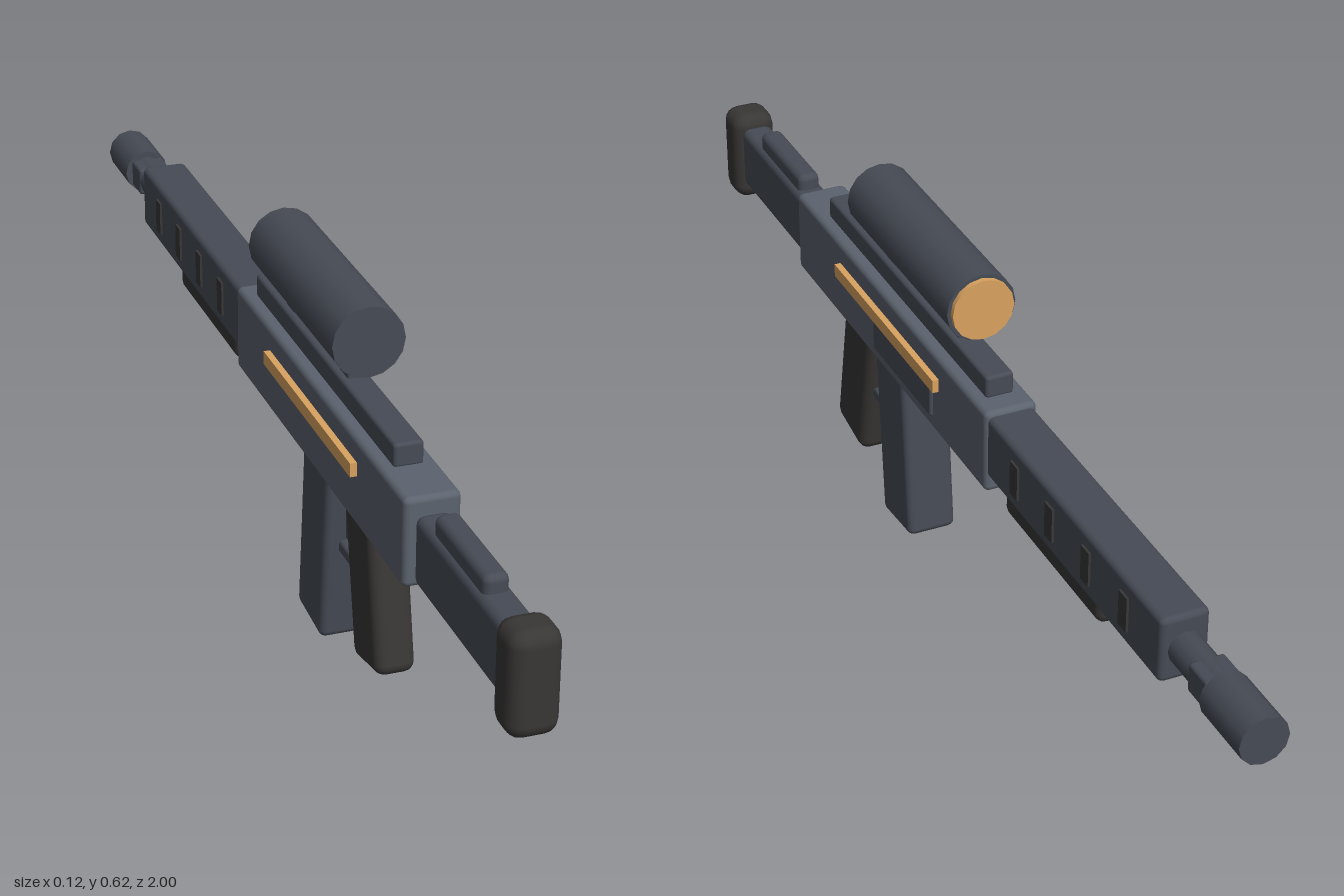
import * as THREE from 'three';
import { RoundedBoxGeometry } from 'three/addons/geometries/RoundedBoxGeometry.js';

const paint = (color) => new THREE.MeshStandardMaterial({ color });

export function createModel() {
  const model = new THREE.Group();
  const body = paint(0x5c636e);
  const dark = paint(0x464b55);
  const rubber = paint(0x393736);
  const amber = paint(0xd9a25f);

  const add = (name, geometry, material, x, y, z, tilt = 0) => {
    const mesh = new THREE.Mesh(geometry, material);
    mesh.name = name;
    mesh.position.set(x, y, z);
    mesh.rotation.x = tilt;
    model.add(mesh);
    return mesh;
  };

  // Box spanning y0..y1 and z0..z1, with an optional rounded edge
  const block = (name, material, width, y0, y1, z0, z1, radius = 0, x = 0) => {
    const size = [width, y1 - y0, z1 - z0];
    const geometry = radius
      ? new RoundedBoxGeometry(...size, 2, radius)
      : new THREE.BoxGeometry(...size);
    return add(name, geometry, material, x, (y0 + y1) / 2, (z0 + z1) / 2);
  };

  // Cylinder lying along z
  const tube = (name, material, radius, y, z0, z1, sides) => {
    const geometry = new THREE.CylinderGeometry(radius, radius, z1 - z0, sides);
    geometry.rotateX(Math.PI / 2);
    return add(name, geometry, material, 0, y, (z0 + z1) / 2);
  };

  // Stock
  block('buttPad', rubber, 0.08, 0.265, 0.435, 0.925, 1, 0.025);
  block('stock', dark, 0.056, 0.3, 0.415, 0.6, 0.93, 0.014);
  block('cheekRest', dark, 0.04, 0.39, 0.443, 0.655, 0.85, 0.012);

  // Receiver with its side details
  block('receiver', body, 0.09, 0.295, 0.443, -0.19, 0.605, 0.01);
  block('sidePanel', dark, 0.02, 0.322, 0.39, 0.013, 0.25, 0.004, 0.041);
  for (const side of [-1, 1]) {
    block('accentStrip', amber, 0.014, 0.382, 0.405, -0.01, 0.405, 0, side * 0.049);
  }

  // Handguard with vents and lower grip
  block('handguard', dark, 0.08, 0.323, 0.435, -0.77, -0.18, 0.01);
  block('foreGrip', rubber, 0.064, 0.282, 0.34, -0.565, -0.23, 0.016);
  for (let i = 0; i < 4; i++) {
    const z = -0.29 - i * 0.123;
    for (const side of [-1, 1]) {
      block('vent', rubber, 0.008, 0.35, 0.41, z - 0.013, z + 0.013, 0, side * 0.04);
    }
  }

  // Barrel and muzzle
  tube('barrel', dark, 0.028, 0.378, -0.9, -0.75, 12);
  block('barrelBlock', dark, 0.058, 0.353, 0.403, -0.885, -0.83, 0.006);
  tube('muzzle', dark, 0.04, 0.377, -1, -0.885, 12);

  // Rail and scope
  block('rail', dark, 0.048, 0.44, 0.48, -0.147, 0.505, 0.006);
  for (const z of [0, 0.255]) {
    block('scopeMount', dark, 0.027, 0.475, 0.52, z - 0.02, z + 0.02, 0.004);
  }
  tube('scope', dark, 0.059, 0.564, -0.075, 0.33, 16);
  tube('scopeLens', amber, 0.053, 0.564, -0.084, -0.07, 16);

  // Slanted grip and magazine
  add('pistolGrip', new RoundedBoxGeometry(0.066, 0.27, 0.118, 2, 0.018), rubber, 0, 0.183, 0.39, -0.19);
  add('magazine', new RoundedBoxGeometry(0.086, 0.31, 0.118, 2, 0.012), dark, 0, 0.16, 0.192, 0.09);

  // Trigger and its guard
  block('triggerGuard', dark, 0.036, 0.165, 0.187, 0.235, 0.36, 0.006);
  block('trigger', dark, 0.022, 0.198, 0.257, 0.265, 0.3);

  return model;
}
